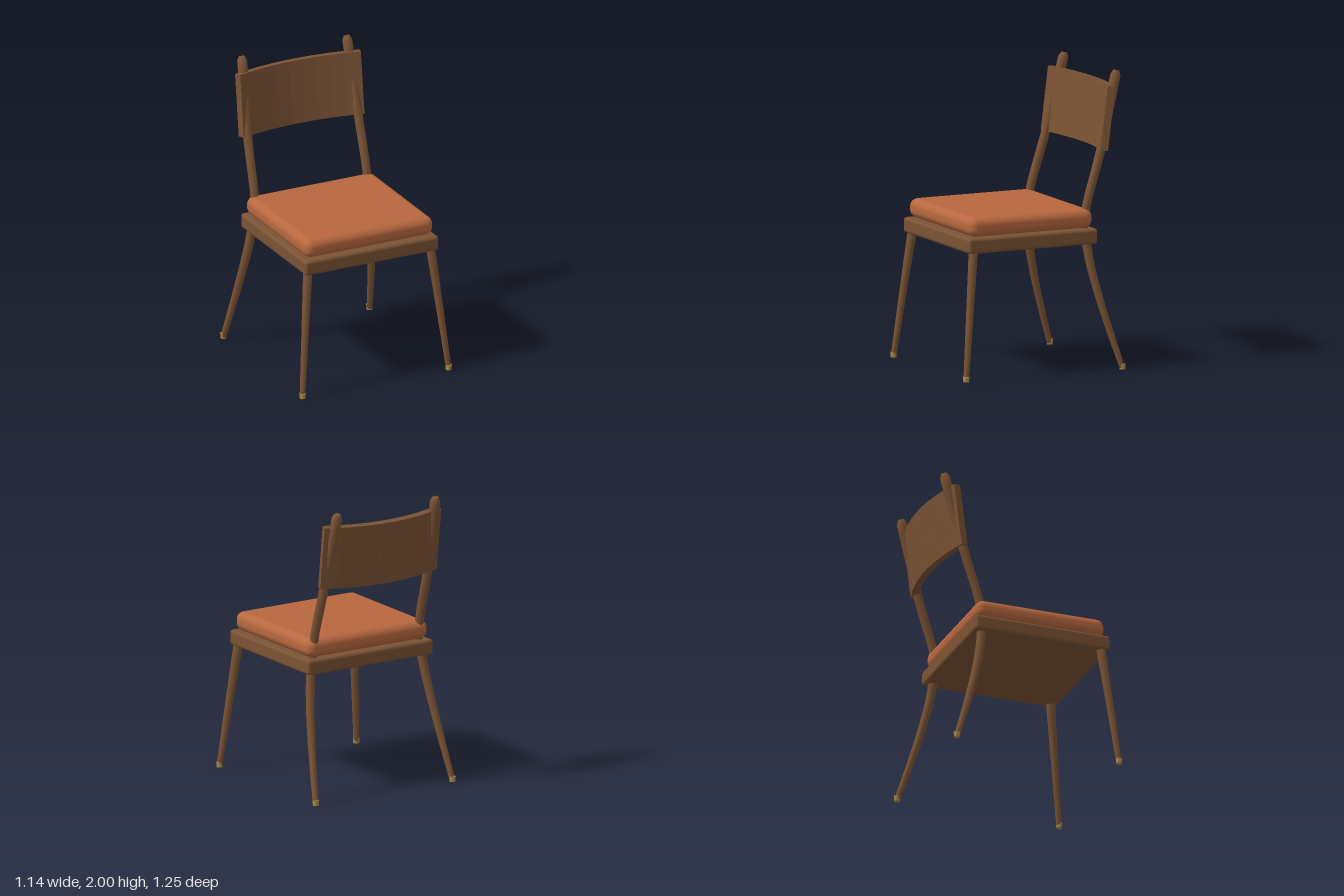
import * as THREE from 'three';
import { RoundedBoxGeometry } from 'three/addons/geometries/RoundedBoxGeometry.js';
import { toCreasedNormals } from 'three/addons/utils/BufferGeometryUtils.js';

const wood = new THREE.MeshStandardMaterial({ color: 0x7b5334 });
const leather = new THREE.MeshStandardMaterial({ color: 0xb8683f });
const brass = new THREE.MeshStandardMaterial({ color: 0xb08d4a });

function add(parent, name, geometry, material, x = 0, y = 0, z = 0) {
  const mesh = new THREE.Mesh(geometry, material);
  mesh.name = name;
  mesh.position.set(x, y, z);
  parent.add(mesh);
  return mesh;
}

// Closed tapered rod along a smooth curve; each stop is [x, y, z, radius], listed upwards.
function rod(stops, segments, sides = 8) {
  const curve = new THREE.CatmullRomCurve3(stops.map((s) => new THREE.Vector3(s[0], s[1], s[2])));
  const rings = [];
  for (let i = 0; i <= segments; i++) {
    const t = i / segments;
    const f = t * (stops.length - 1);
    const k = Math.min(Math.floor(f), stops.length - 2);
    const radius = THREE.MathUtils.lerp(stops[k][3], stops[k + 1][3], f - k);
    rings.push({ p: curve.getPoint(t), d: curve.getTangent(t), radius });
  }
  // zero-radius rings close both ends
  rings.unshift({ ...rings[0], radius: 0 });
  rings.push({ ...rings[rings.length - 1], radius: 0 });

  const positions = [], index = [];
  rings.forEach(({ p, d, radius }, i) => {
    const u = new THREE.Vector3(1, 0, 0).addScaledVector(d, -d.x).normalize();
    const v = new THREE.Vector3().crossVectors(u, d);
    for (let j = 0; j < sides; j++) {
      const a = (j / sides) * Math.PI * 2;
      const q = p.clone().addScaledVector(u, Math.cos(a) * radius).addScaledVector(v, Math.sin(a) * radius);
      positions.push(q.x, q.y, q.z);
      if (i === 0) continue;
      const n = (j + 1) % sides, lo = (i - 1) * sides, hi = i * sides;
      index.push(lo + j, hi + j, lo + n, lo + n, hi + j, hi + n);
    }
  });
  const geometry = new THREE.BufferGeometry();
  geometry.setAttribute('position', new THREE.Float32BufferAttribute(positions, 3));
  geometry.setIndex(index);
  return toCreasedNormals(geometry, Math.PI / 3.5);
}

export function createModel() {
  const chair = new THREE.Group();
  chair.name = 'chair';

  // Seat
  add(chair, 'seatFrame', new RoundedBoxGeometry(1.0, 0.105, 0.96, 3, 0.022), wood, 0, 0.902, 0.08);
  add(chair, 'seatCushion', new RoundedBoxGeometry(0.96, 0.13, 0.915, 5, 0.055), leather, 0, 1.02, 0.078);

  for (const side of [1, -1]) {
    const label = side > 0 ? 'left' : 'right';

    // Straight splayed front leg
    add(chair, label + 'FrontLeg', rod([
      [side * 0.546, 0.015, 0.604, 0.02],
      [side * 0.503, 0.44, 0.557, 0.026],
      [side * 0.457, 0.88, 0.507, 0.033],
    ], 6), wood);

    // Back leg sweeping out to the rear
    add(chair, label + 'BackLeg', rod([
      [side * 0.546, 0.015, -0.554, 0.02],
      [side * 0.518, 0.25, -0.48, 0.024],
      [side * 0.488, 0.5, -0.408, 0.028],
      [side * 0.459, 0.72, -0.358, 0.031],
      [side * 0.439, 0.88, -0.336, 0.033],
    ], 12), wood);

    // Back post rising from the seat and leaning backwards
    add(chair, label + 'BackPost', rod([
      [side * 0.424, 0.92, -0.326, 0.029],
      [side * 0.42, 1.1, -0.35, 0.03],
      [side * 0.418, 1.27, -0.4, 0.031],
      [side * 0.414, 1.46, -0.458, 0.032],
      [side * 0.408, 1.63, -0.498, 0.033],
      [side * 0.4, 1.8, -0.54, 0.035],
      [side * 0.393, 1.965, -0.58, 0.036],
      [side * 0.392, 1.995, -0.588, 0.021],
    ], 14), wood);

    // Metal foot tips
    for (const [end, z] of [['Front', 0.605], ['Back', -0.556]]) {
      add(chair, label + end + 'FootTip', new THREE.CylinderGeometry(0.023, 0.02, 0.036, 8), brass, side * 0.546, 0.018, z);
    }
  }

  // Curved backrest of overlapping upright slats
  const backrest = new THREE.Group();
  backrest.name = 'backrest';
  backrest.position.set(0, 1.675, -0.57);
  backrest.rotation.x = -0.125;
  for (let i = -4; i <= 4; i++) {
    const x = i * 0.1;
    const slat = add(backrest, 'backSlat', new THREE.BoxGeometry(0.122, 0.435, 0.05), wood, x, 0, 0.38 * x * x);
    slat.rotation.y = -Math.atan(0.76 * x);
  }
  chair.add(backrest);

  return chair;
}
